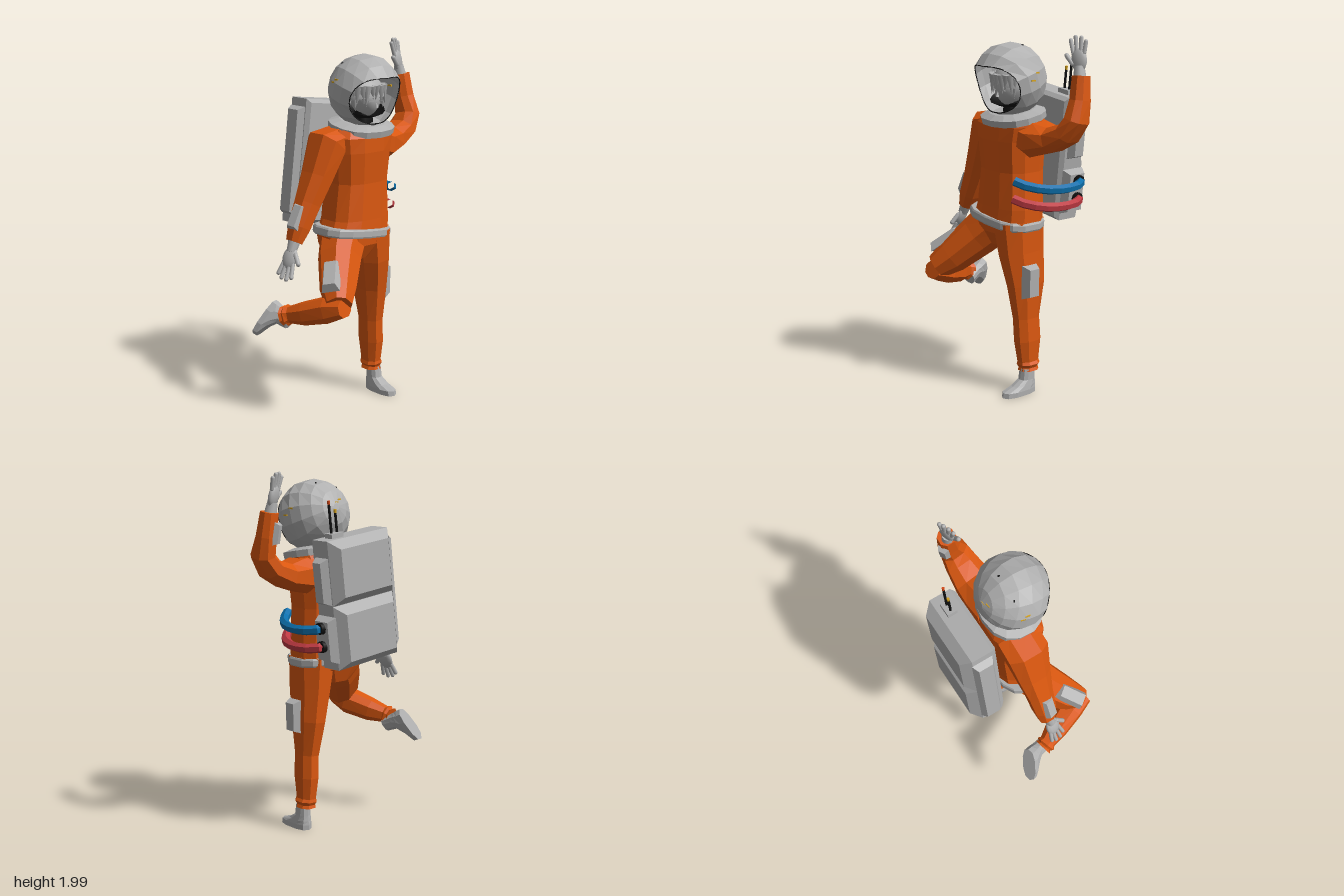
import * as THREE from 'three';

const V = (x, y, z) => new THREE.Vector3(x, y, z);
const mat = (name, color, side = THREE.FrontSide) => {
  const m = new THREE.MeshStandardMaterial({ color, side });
  m.name = name;
  return m;
};
const suit = mat('suitOrange', 0xd9570f);
const grey = mat('lightGrey', 0xb0b0b0, THREE.DoubleSide);
const blue = mat('hoseBlue', 0x0d70ac);
const red = mat('hoseRed', 0xbe3a42);
const black = mat('black', 0x101010, THREE.DoubleSide);
const gold = mat('gold', 0xd8a41c);
const tip = mat('signalOrange', 0xd84a18);

function add(parent, name, geo, material, x = 0, y = 0, z = 0) {
  const m = new THREE.Mesh(geo, material);
  m.name = name;
  m.position.set(x, y, z);
  parent.add(m);
  return m;
}

function flat(geo) {
  const g = geo.index ? geo.toNonIndexed() : geo;
  g.computeVertexNormals();
  return g;
}

// Faceted skin over a list of equal rings, with optional end caps
function loft(rings, capStart = true, capEnd = true) {
  const pts = [], n = rings[0].length;
  const tri = (...p) => p.forEach(q => pts.push(q.x, q.y, q.z));
  const mid = r => r.reduce((s, p) => s.add(p), V(0, 0, 0)).divideScalar(n);
  const first = rings[0], last = rings[rings.length - 1];
  const a = mid(first), b = mid(last);
  for (let i = 0; i < n; i++) {
    const j = (i + 1) % n;
    for (let k = 0; k + 1 < rings.length; k++) {
      const p = rings[k], q = rings[k + 1];
      tri(p[i], p[j], q[j]);
      tri(p[i], q[j], q[i]);
    }
    if (capStart) tri(a, first[j], first[i]);
    if (capEnd) tri(b, last[i], last[j]);
  }
  const g = new THREE.BufferGeometry();
  g.setAttribute('position', new THREE.Float32BufferAttribute(pts, 3));
  return flat(g);
}

// Limb through stations [x, y, z, radius across, radius along ref]; power below 1 squares the
// section, and a given axis keeps all sections parallel
function limb(stations, { ref = V(0, 0, 1), sides = 8, power = 0.85, axis = null } = {}) {
  const c = stations.map(s => V(s[0], s[1], s[2]));
  const pw = v => Math.sign(v) * Math.abs(v) ** power;
  return loft(stations.map((s, k) => {
    const t = axis ?? c[Math.min(k + 1, c.length - 1)].clone().sub(c[Math.max(k - 1, 0)]).normalize();
    const u = ref.clone().cross(t).normalize(), v = t.clone().cross(u);
    return Array.from({ length: sides }, (_, i) => {
      const a = (i + 0.5) / sides * Math.PI * 2;
      return c[k].clone().addScaledVector(u, s[3] * pw(Math.cos(a))).addScaledVector(v, s[4] * pw(Math.sin(a)));
    });
  }));
}
const UP = V(0, 1, 0), DOWN = V(0, -1, 0);

// Box with its +z face drawn in; its base lies on z = 0
function pad(w, h, d, inset) {
  const g = new THREE.BoxGeometry(w, h, d), p = g.attributes.position;
  for (let i = 0; i < p.count; i++) {
    if (p.getZ(i) > 0) p.setXY(i, p.getX(i) * (1 - 2 * inset / w), p.getY(i) * (1 - 2 * inset / h));
  }
  return flat(g.translate(0, 0, d / 2));
}

// Puts an object at pos with its y along "up" and its z towards "out"
function place(obj, pos, up, out) {
  const y = up.clone().normalize(), x = y.clone().cross(out).normalize();
  obj.setRotationFromMatrix(new THREE.Matrix4().makeBasis(x, y, x.clone().cross(y)));
  obj.position.copy(pos);
  return obj;
}

// Open hand: wrist at the origin, fingers along +y, thumb on -x
function hand(name) {
  const g = new THREE.Group();
  g.name = name;
  add(g, 'wrist', new THREE.CylinderGeometry(0.027, 0.036, 0.08, 10), grey, 0, 0.015, 0);
  add(g, 'palm', new THREE.SphereGeometry(1, 12, 8).scale(0.045, 0.062, 0.021), grey, 0, 0.085, 0);
  [[-0.03, 0.07, 0.16], [-0.01, 0.084, 0.04], [0.012, 0.078, -0.08], [0.031, 0.058, -0.22]].forEach(([x, l, a]) => {
    const f = add(g, 'finger', new THREE.CapsuleGeometry(0.0115, l, 3, 8).translate(0, l / 2, 0), grey, x, 0.12, 0);
    f.rotation.z = a;
  });
  const t = add(g, 'thumb', new THREE.CapsuleGeometry(0.013, 0.055, 3, 8).translate(0, 0.03, 0), grey, -0.033, 0.065, 0.006);
  t.rotation.z = 0.6;
  return g;
}

// Shoe: heel near the origin, toe along +z, sole on y = 0
const shoe = () => limb([
  [0, 0, 0.095, 0.045, 0.112], [0, 0.028, 0.093, 0.046, 0.11], [0, 0.05, 0.062, 0.042, 0.075],
  [0, 0.08, 0.038, 0.036, 0.047], [0, 0.14, 0.033, 0.035, 0.042]], { sides: 10, power: 0.8, axis: UP });

function buildHelmet(g) {
  const R = 0.199, n = 14;
  const rings = Array.from({ length: 7 }, (_, k) => Array.from({ length: n }, (_, i) => {
    const a = (i + 0.5) / n * Math.PI * 2;
    const open = 0.73 + 0.42 * Math.cos(a) ** 2;
    const th = open + (Math.PI * 0.97 - open) * k / 6;
    return V(R * Math.sin(th) * Math.cos(a), -R * Math.sin(th) * Math.sin(a), R * Math.cos(th));
  }));
  const helmet = new THREE.Group();
  helmet.name = 'helmet';
  helmet.position.set(0.058, 1.738, 0.068);
  g.add(helmet);
  add(helmet, 'helmetShell', loft(rings, false, true), grey).rotation.x = 0.3;
  const rim = new THREE.CatmullRomCurve3(rings[0].map(p => p.clone().multiplyScalar(0.982)), true);
  add(helmet, 'visorRim', new THREE.TubeGeometry(rim, 42, 0.003, 5, true), black).rotation.x = 0.3;
  const lining = new THREE.SphereGeometry(0.178, 16, 6, 0, Math.PI * 2, 2.2, Math.PI - 2.2);
  add(helmet, 'helmetLining', lining.rotateX(0.4).scale(1, 0.83, 1), black);
  // small gold marks on both sides and the back, dark studs on the crown
  const mark = (name, w, h, m, x, y, z) => {
    const d = V(x, y, z).normalize();
    place(add(helmet, name, new THREE.BoxGeometry(w, h, 0.014), m), d.clone().multiplyScalar(0.191), UP, d);
  };
  [[0.95, 0.26, -0.17], [0.98, 0.06, 0], [-0.9, 0.36, -0.12], [-0.9, 0.28, -0.25], [-0.2, 0.5, -0.86],
    [-0.05, 0.42, -0.9]].forEach(d => mark('goldMark', 0.026, 0.008, gold, ...d));
  [[-0.55, 0.78, -0.3], [0.18, 0.92, -0.3]].forEach(d => mark('crownStud', 0.007, 0.01, black, ...d));

  // head, face and hair
  const head = new THREE.Group();
  head.name = 'head';
  head.position.set(0.065, 1.7, 0.065);
  g.add(head);
  const skull = new THREE.SphereGeometry(1, 20, 14), p = skull.attributes.position;
  for (let i = 0; i < p.count; i++) {
    if (p.getY(i) < 0) p.setX(i, p.getX(i) * (1 + 0.35 * p.getY(i)));
  }
  skull.scale(0.087, 0.102, 0.092).computeVertexNormals();
  add(head, 'face', skull, grey);
  add(head, 'neckSeal', new THREE.CylinderGeometry(0.045, 0.06, 0.12, 12), black, 0, -0.11, -0.015);
  const nose = add(head, 'nose', new THREE.ConeGeometry(0.01, 0.035, 6), grey, 0, -0.03, 0.09);
  nose.rotation.x = -0.2;
  for (const s of [-1, 1]) {
    add(head, 'closedEye', new THREE.BoxGeometry(0.03, 0.003, 0.006), grey, s * 0.034, -0.012, 0.085).rotation.y = s * 0.35;
  }
  const cap = add(head, 'hairCap', new THREE.SphereGeometry(1, 18, 8, 0, Math.PI * 2, 0, 1.75).scale(0.122, 0.118, 0.106), grey, 0, 0.01, -0.012);
  cap.rotation.x = -0.2;
  for (let i = 0; i < 15; i++) {
    const a = (i / 14 - 0.5) * 3.7, l = 0.07 + 0.012 * (i % 3) + 0.03 * Math.abs(a);
    const lock = new THREE.ConeGeometry(0.025, l, 6).rotateX(Math.PI).translate(0, -l / 2, 0);
    place(add(head, 'hairLock', lock, grey), V(0.102 * Math.sin(a), 0.07, 0.087 * Math.cos(a)),
      V(-0.06 * Math.sin(a) + (i % 2 ? 0.1 : -0.08), 1, -0.03), V(Math.sin(a), 0, Math.cos(a)));
  }
}

function buildBackpack(g) {
  const pack = new THREE.Group();
  pack.name = 'backpack';
  pack.position.set(0.021, 1.32, -0.25);
  pack.rotation.z = -0.12;
  g.add(pack);
  add(pack, 'packBody', new THREE.BoxGeometry(0.42, 0.69, 0.12), grey, 0, 0, 0.015);
  add(pack, 'packFront', pad(0.42, 0.69, 0.022, 0.02), grey, 0, 0, 0.075);
  for (const s of [-1, 1]) {
    add(pack, 'backPanel', pad(0.42, 0.344, 0.053, 0.045), grey, 0, s * 0.173, -0.045).rotation.y = Math.PI;
  }
  const side = (name, s, w, h, d, y) => {
    add(pack, name, pad(w, h, d, 0.02), grey, s * 0.21, y, 0.01).rotation.y = s * Math.PI / 2;
  };
  side('upperPocket', 1, 0.1, 0.25, 0.04, 0.13);
  side('lowerPocket', 1, 0.14, 0.25, 0.045, -0.18);
  side('sidePanel', -1, 0.12, 0.6, 0.035, 0);
  // antennas on their plinth
  add(pack, 'antennaBase', new THREE.BoxGeometry(0.08, 0.025, 0.055), grey, 0.11, 0.357, 0.012);
  [[0.128, 0.15, tip], [0.09, 0.1, gold]].forEach(([x, h, m]) => {
    add(pack, 'antenna', new THREE.CylinderGeometry(0.007, 0.007, h, 6), black, x, 0.37 + h / 2, 0.012);
    add(pack, 'antennaTip', new THREE.CylinderGeometry(0.0075, 0.0075, 0.02, 6), m, x, 0.38 + h, 0.012);
  });
}

export function createModel() {
  const g = new THREE.Group();
  g.name = 'astronaut';

  // torso, hips and trims
  add(g, 'torso', limb([
    [0, 0.96, 0.035, 0.21, 0.145], [0.02, 1.05, 0.032, 0.192, 0.142], [0.03, 1.25, 0.028, 0.172, 0.14],
    [0.03, 1.42, 0.032, 0.187, 0.15], [0.035, 1.5, 0.035, 0.2, 0.145], [0.048, 1.543, 0.035, 0.185, 0.12]],
    { sides: 12, power: 0.75, axis: UP }), suit);
  add(g, 'hips', limb([
    [-0.01, 0.985, 0.035, 0.21, 0.145], [-0.01, 0.91, 0.035, 0.195, 0.14], [-0.02, 0.83, 0.03, 0.11, 0.1]],
    { sides: 12, power: 0.8, axis: DOWN }), suit);
  const belt = add(g, 'belt', limb([
    [0, -0.024, 0, 0.224, 0.153], [0, -0.015, 0, 0.228, 0.157], [0, 0.015, 0, 0.226, 0.157], [0, 0.024, 0, 0.22, 0.152]],
    { sides: 14, power: 0.75 }), grey, -0.005, 0.976, 0.037);
  belt.rotation.z = -0.11;
  const collar = add(g, 'collar', limb([
    [0, -0.035, 0, 0.18, 0.157], [0, 0.0, 0, 0.184, 0.16], [0, 0.018, 0, 0.12, 0.12]], { sides: 14 }), grey, 0.058, 1.558, 0.045);
  collar.rotation.x = 0.18;

  // arms
  add(g, 'rightArm', limb([
    [-0.07, 1.49, 0.01, 0.068, 0.12], [-0.16, 1.468, 0.01, 0.1, 0.122], [-0.232, 1.3, 0.01, 0.08, 0.098],
    [-0.3, 1.16, 0.01, 0.07, 0.076], [-0.36, 1.04, 0.01, 0.06, 0.065], [-0.395, 0.965, 0.01, 0.042, 0.05]]), suit);
  add(g, 'leftArm', limb([
    [0.1, 1.465, 0.01, 0.09, 0.13], [0.22, 1.432, 0.005, 0.1, 0.13], [0.33, 1.443, -0.012, 0.07, 0.107],
    [0.43, 1.488, -0.02, 0.06, 0.09], [0.48, 1.56, -0.03, 0.058, 0.075], [0.476, 1.66, -0.055, 0.053, 0.058],
    [0.466, 1.785, -0.07, 0.048, 0.048]]), suit);
  g.add(place(hand('leftHand'), V(0.458, 1.78, -0.068), V(-0.04, 0.22, -0.02), V(0.42, 0.1, 1)));
  g.add(place(hand('rightHand'), V(-0.4, 0.965, 0.015), V(-0.09, -0.19, 0.02), V(-1, 0.2, 0.3)));

  // standing left leg
  add(g, 'leftLeg', limb([
    [0.1, 0.97, 0.04, 0.115, 0.145], [0.118, 0.8, 0.035, 0.093, 0.135], [0.14, 0.62, 0.022, 0.075, 0.113],
    [0.148, 0.43, 0.026, 0.058, 0.078], [0.155, 0.3, 0.022, 0.058, 0.079], [0.158, 0.18, 0.02, 0.048, 0.062],
    [0.16, 0.163, 0.02, 0.057, 0.066], [0.16, 0.145, 0.02, 0.044, 0.055], [0.16, 0.128, 0.02, 0.052, 0.06]]), suit);
  add(g, 'leftShoe', shoe(), grey, 0.168, 0, 0);

  // raised right leg
  add(g, 'rightThigh', limb([
    [-0.07, 0.95, 0.04, 0.125, 0.125], [-0.16, 0.85, 0.11, 0.115, 0.115], [-0.265, 0.725, 0.215, 0.096, 0.096],
    [-0.322, 0.66, 0.285, 0.07, 0.07]]), suit);
  add(g, 'rightShin', limb([
    [-0.315, 0.65, 0.322, 0.055, 0.05], [-0.335, 0.625, 0.22, 0.078, 0.073], [-0.39, 0.585, 0.09, 0.066, 0.064],
    [-0.425, 0.567, 0.01, 0.047, 0.047], [-0.43, 0.562, -0.004, 0.058, 0.058], [-0.434, 0.558, -0.018, 0.045, 0.045],
    [-0.437, 0.555, -0.03, 0.054, 0.054]], { ref: UP }), suit);
  place(add(g, 'rightShoe', shoe(), grey), V(-0.428, 0.605, -0.123), V(0.073, -0.137, 0.26), V(-0.105, -0.16, -0.055));

  // raised pads on the suit: size, position, long direction, facing
  [['leftThighPad', [0.1, 0.19, 0.05, 0.018], V(0.198, 0.65, 0.05), V(0.03, 1, 0), V(1, 0, 0)],
    ['rightThighPad', [0.1, 0.19, 0.045, 0.018], V(-0.312, 0.795, 0.218), V(0.2, 0.2, -0.2), V(-0.57, 0.8, 0.23)],
    ['rightForearmPad', [0.07, 0.14, 0.03, 0.012], V(-0.383, 1.1, 0.02), V(0.06, 0.12, 0), V(-0.85, 0.45, 0.25)],
    ['leftForearmPad', [0.06, 0.12, 0.025, 0.012], V(0.449, 1.675, -0.096), V(-0.01, 0.12, -0.015), V(-0.5, 0, -0.85)],
  ].forEach(([name, size, pos, up, out]) => place(add(g, name, pad(...size), grey), pos, up, out));

  buildHelmet(g);
  buildBackpack(g);

  // air hoses with dark sockets
  [['blueHose', blue, 0, 0], ['redHose', red, -0.098, -0.012]].forEach(([name, m, dy, dx]) => {
    const path = new THREE.CatmullRomCurve3([
      V(0.185, 1.215, 0.14), V(0.215, 1.2, 0.12), V(0.275, 1.18, 0.06), V(0.32, 1.167, -0.04),
      V(0.325, 1.168, -0.17), V(0.295, 1.175, -0.235), V(0.23, 1.18, -0.245)].map(p => p.add(V(dx, dy, 0))));
    add(g, name, flat(new THREE.TubeGeometry(path, 8, 0.026, 6)), m);
    add(g, 'hoseSocket', new THREE.CylinderGeometry(0.031, 0.031, 0.04, 10), black, 0.265 + dx, 1.18 + dy, -0.243).rotation.z = Math.PI / 2;
  });
  return g;
}
